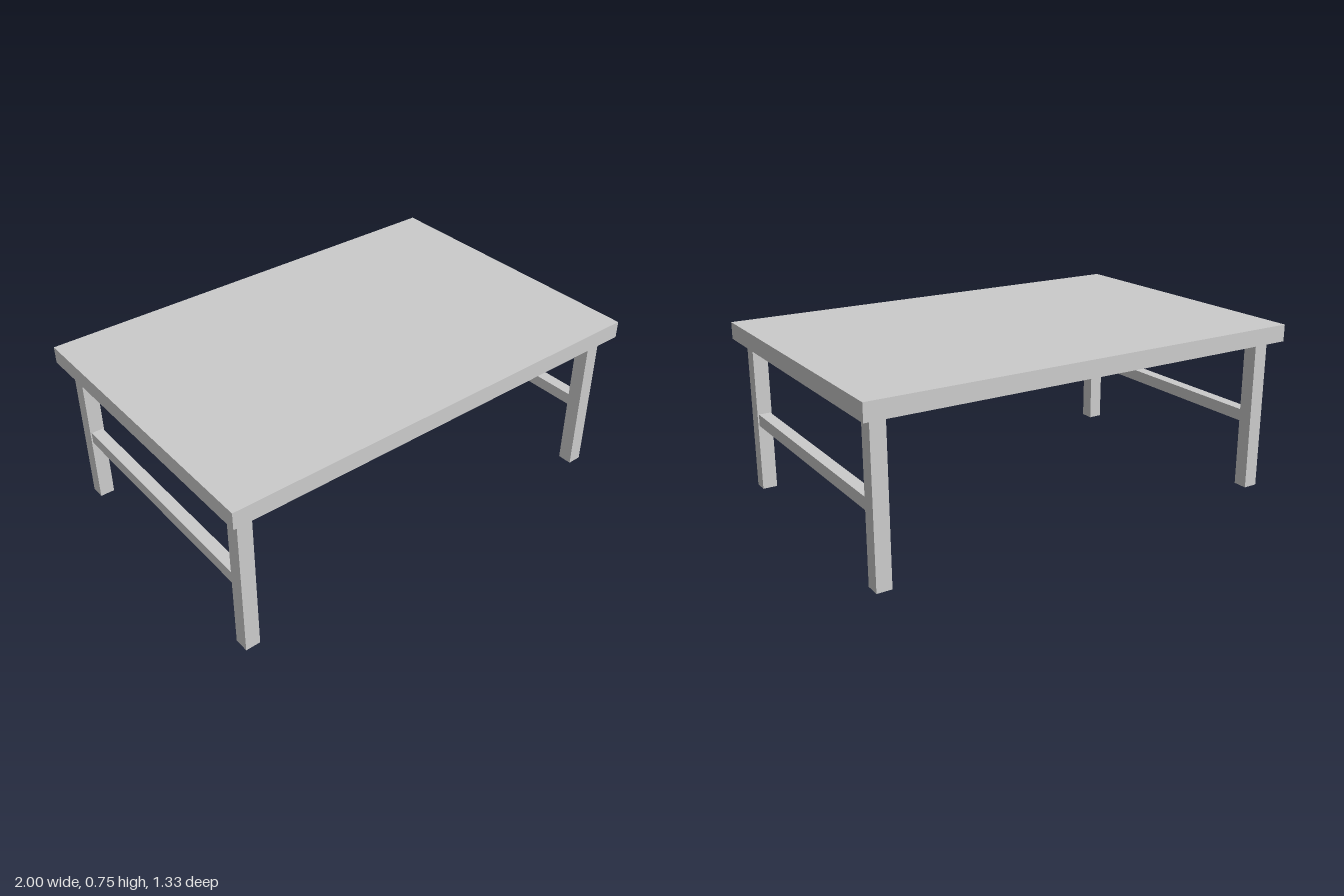
import * as THREE from 'three';

export function createModel() {
  const model = new THREE.Group();
  model.name = 'table';
  const material = new THREE.MeshStandardMaterial({ color: 0xcccccc, flatShading: true });

  function addBox(name, [w, h, d], [x, y, z]) {
    const mesh = new THREE.Mesh(new THREE.BoxGeometry(w, h, d), material);
    mesh.name = name;
    mesh.position.set(x, y, z);
    model.add(mesh);
  }

  const topY = 0.755, legHeight = 0.68, legSize = 0.065;
  const legX = 0.922, legZ = 0.581;

  // Table top slab
  addBox('tableTop', [2, topY - legHeight, 1.333], [0, (topY + legHeight) / 2, 0]);

  for (const sx of [1, -1]) {
    const side = sx > 0 ? 'left' : 'right';
    // Square legs at the front and back corners
    for (const sz of [1, -1]) {
      addBox(`${side}${sz > 0 ? 'Front' : 'Back'}Leg`,
        [legSize, legHeight, legSize], [sx * legX, legHeight / 2, sz * legZ]);
    }
    // Stretcher joining the two legs at each end
    addBox(`${side}Stretcher`, [0.053, 0.053, 2 * legZ - legSize], [sx * legX, 0.327, 0]);
  }
  return model;
}
